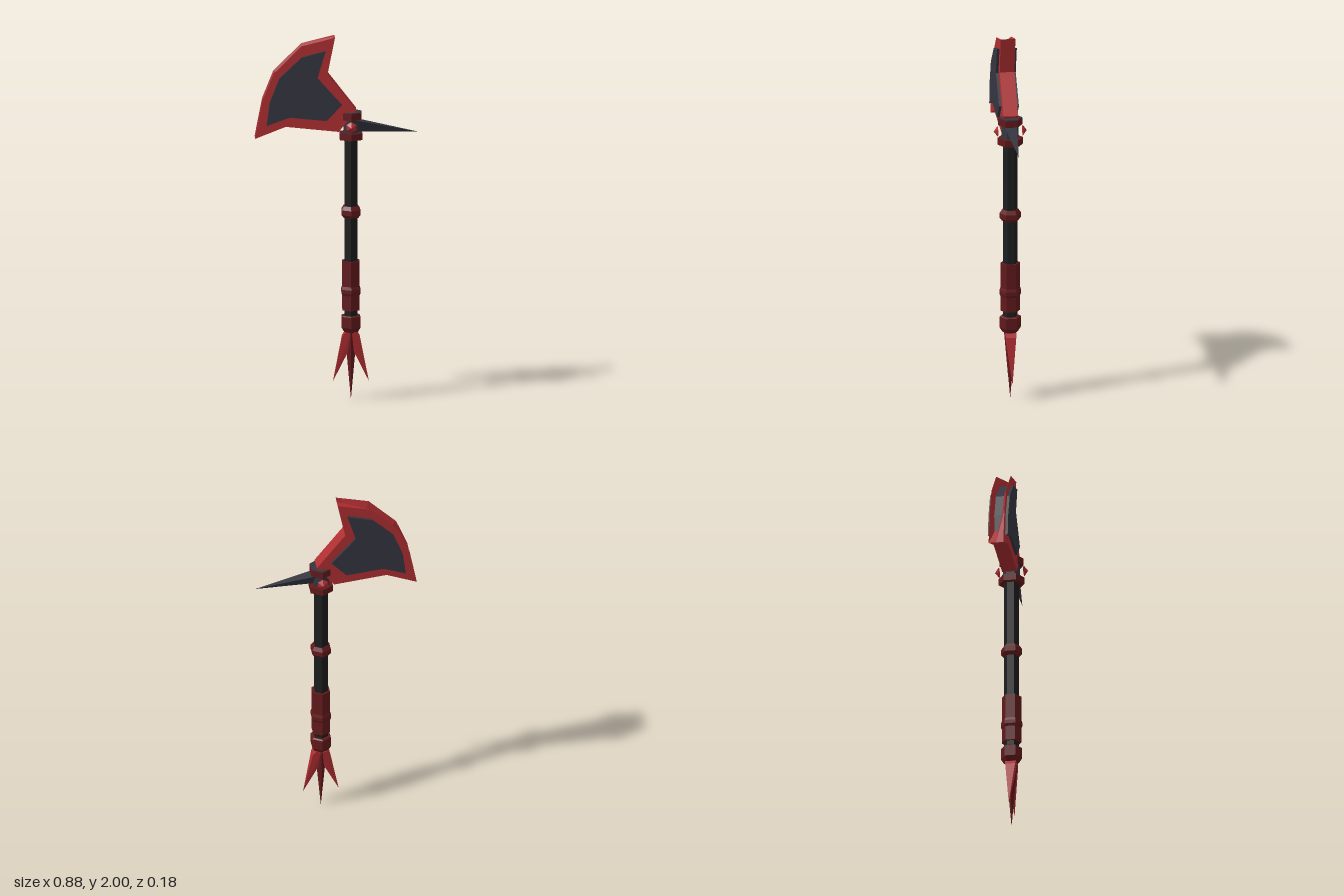
import * as THREE from 'three';
import { ConvexGeometry } from 'three/addons/geometries/ConvexGeometry.js';

const AXIS = 0.077; // x of the shaft

function makeMaterial(name, color) {
  const m = new THREE.MeshStandardMaterial({ color, flatShading: true });
  m.name = name;
  return m;
}

export function createModel() {
  const red = makeMaterial('bright red', 0xb02e32);
  const maroon = makeMaterial('dark red', 0x621a1c);
  const slate = makeMaterial('slate', 0x353640);
  const black = makeMaterial('black', 0x1c1d1e);

  const model = new THREE.Group();
  model.name = 'axe';

  function add(name, geometry, material) {
    const mesh = new THREE.Mesh(geometry, material);
    mesh.name = name;
    model.add(mesh);
    return mesh;
  }

  // Six-sided turned part on the shaft axis; profile is [radius, y] from bottom to top
  function turned(name, profile, material) {
    const pts = profile.map(([r, y]) => new THREE.Vector2(r, y));
    pts.unshift(new THREE.Vector2(0, profile[0][1]));
    pts.push(new THREE.Vector2(0, profile[profile.length - 1][1]));
    add(name, new THREE.LatheGeometry(pts, 6), material).position.x = AXIS;
  }

  const hull = (pts) => new ConvexGeometry(pts.map((p) => new THREE.Vector3(...p)));

  // Shaft and its fittings
  turned('shaft', [[0.04, 0.375], [0.04, 1.45]], black);
  turned('lowerCollar', [[0.042, 0.375], [0.058, 0.4], [0.058, 0.46], [0.05, 0.465]], maroon);
  turned('grip', [[0.053, 0.495], [0.053, 0.765]], maroon);
  turned('gripRing', [[0.05, 0.57], [0.059, 0.59], [0.059, 0.61], [0.05, 0.635]], maroon);
  turned('middleRing', [[0.044, 1.003], [0.058, 1.02], [0.058, 1.047], [0.044, 1.068]], maroon);
  turned('headLowerFlange', [[0.07, 1.435], [0.07, 1.472]], maroon);
  turned('headCore', [[0.046, 1.47], [0.046, 1.55]], slate);
  turned('headUpperFlange', [[0.066, 1.545], [0.066, 1.583]], maroon);
  turned('headCap', [[0.062, 1.58], [0.062, 1.586]], slate);

  // Faceted studs on the front and back of the head
  for (const s of [1, -1]) {
    const stud = add(s > 0 ? 'frontStud' : 'backStud', new THREE.ConeGeometry(0.031, 0.022, 6), red);
    stud.rotation.x = s * Math.PI / 2;
    stud.position.set(AXIS, 1.51, s * 0.079);
  }

  // Three-sided rear spike with a flat top
  add('rearSpike', hull([
    [0.08, 1.547, 0.036], [0.08, 1.547, -0.036], [0.08, 1.475, 0], [0.435, 1.473, 0],
  ]), slate);

  // Claws at the foot
  add('centreClaw', hull([
    [AXIS - 0.034, 0.38, 0], [AXIS + 0.034, 0.38, 0], [AXIS, 0.38, 0.034], [AXIS, 0.38, -0.034],
    [AXIS, 0, 0],
  ]), maroon);
  for (const s of [1, -1]) {
    const pts = [[AXIS + s * 0.097, 0.1, 0]];
    for (const z of [0.03, -0.03]) {
      pts.push([AXIS + s * 0.03, 0.375, z], [AXIS + s * 0.047, 0.352, z * 0.9]);
      pts.push([AXIS + s * 0.005, 0.365, z], [AXIS + s * 0.016, 0.265, z * 0.55]);
    }
    add(s > 0 ? 'leftClaw' : 'rightClaw', hull(pts), red);
  }

  // Blade: flat faces, flat inner edges and a groove sunk into the cutting edge
  const outline = [
    [-0.01, 2], [-0.19, 1.955], [-0.34, 1.805], [-0.4, 1.655], [-0.44, 1.447],
    [-0.275, 1.512], [0.01, 1.482], [0.105, 1.6], [-0.05, 1.8],
  ];
  const groove = [outline[0], [-0.155, 1.87], [-0.27, 1.755], [-0.315, 1.63], outline[4]];
  const h = 0.04;
  const pos = [];
  const quad = (a, b, c, d) => pos.push(...a, ...b, ...c, ...a, ...c, ...d);
  const flat = outline.map(([x, y]) => new THREE.Vector2(x, y));
  for (const [a, b, c] of THREE.ShapeUtils.triangulateShape(flat, [])) {
    pos.push(...outline[a], h, ...outline[b], h, ...outline[c], h);
    pos.push(...outline[a], -h, ...outline[c], -h, ...outline[b], -h);
  }
  outline.forEach((a, i) => {
    const b = outline[(i + 1) % outline.length];
    if (i < 4) {
      const am = [...groove[i], 0];
      const bm = [...groove[i + 1], 0];
      quad([...a, h], am, bm, [...b, h]);
      quad(am, [...a, -h], [...b, -h], bm);
    } else {
      quad([...a, h], [...a, -h], [...b, -h], [...b, h]);
    }
  });
  const bladeGeometry = new THREE.BufferGeometry();
  bladeGeometry.setAttribute('position', new THREE.Float32BufferAttribute(pos, 3));
  bladeGeometry.computeVertexNormals();
  add('blade', bladeGeometry, red);

  // Slate core standing proud of both blade faces
  const inlay = new THREE.Shape([
    [-0.06, 1.93], [-0.19, 1.895], [-0.31, 1.78], [-0.362, 1.645], [-0.378, 1.52],
    [-0.255, 1.565], [-0.055, 1.545], [0.027, 1.632], [-0.105, 1.78],
  ].map(([x, y]) => new THREE.Vector2(x, y)));
  const inlayGeometry = new THREE.ExtrudeGeometry(inlay, { depth: 0.108, bevelEnabled: false });
  add('bladeInlay', inlayGeometry.translate(0, 0, -0.054), slate);

  return model;
}
